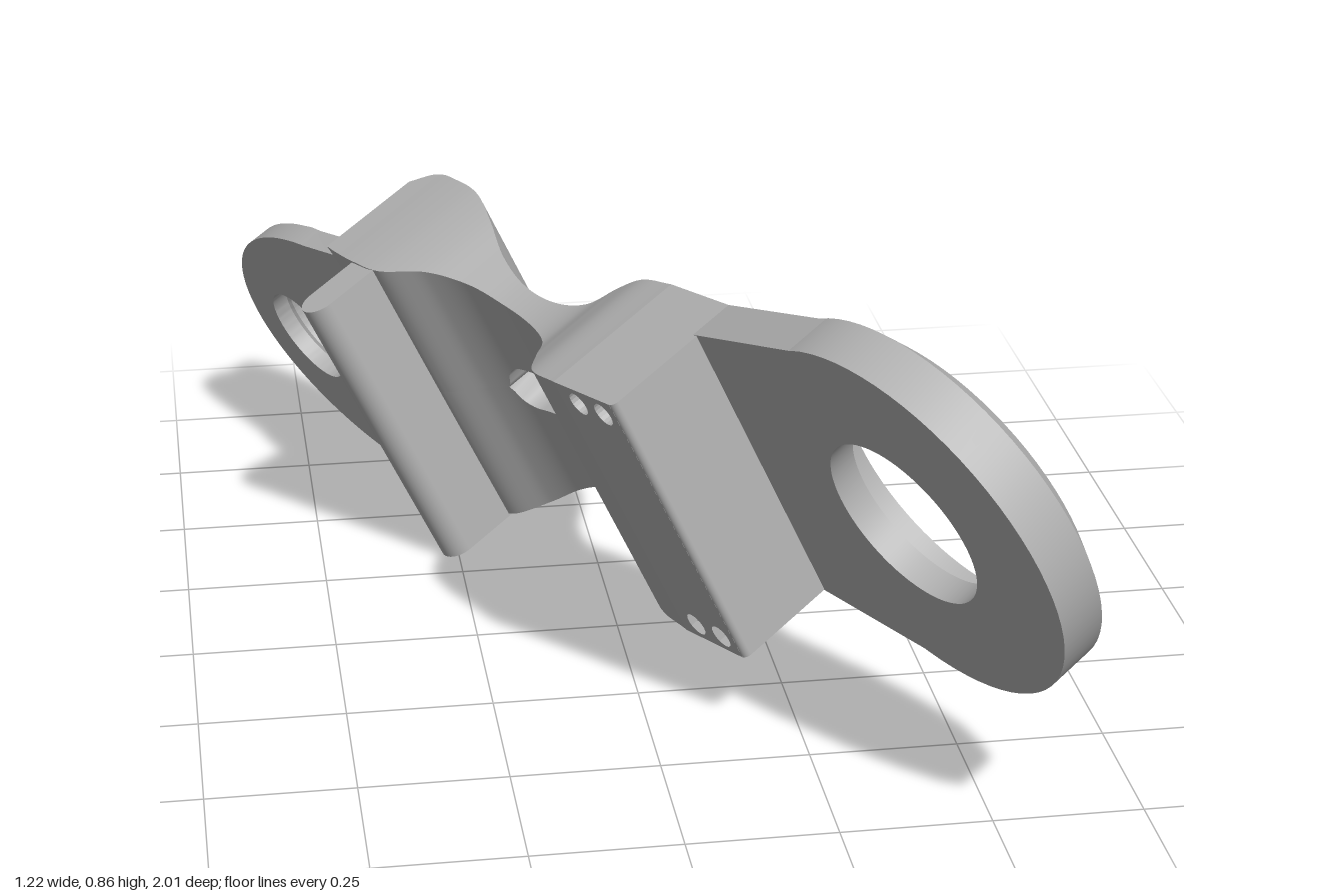
import * as THREE from 'three';
import { toCreasedNormals } from 'three/addons/utils/BufferGeometryUtils.js';

// Local frame: x = across the lever, y = along the lever, z = ring axis
export function createModel() {
  const model = new THREE.Group();
  const lever = new THREE.Group();
  lever.name = 'lever';
  model.add(lever);
  const grey = new THREE.MeshStandardMaterial({ color: 0xb2b2b2 });
  grey.name = 'metal grey';

  const add = (name, geo) => {
    const mesh = new THREE.Mesh(geo, grey);
    mesh.name = name;
    lever.add(mesh);
  };
  const circle = (x, y, r) => new THREE.Path().absarc(x, y, r, 0, Math.PI * 2, true);
  const plate = (name, shape, z0, z1, bevel = 0, segments = 48) => {
    const geo = new THREE.ExtrudeGeometry(shape, {
      depth: z1 - z0 - 2 * bevel, curveSegments: segments, bevelEnabled: bevel > 0, bevelSegments: 1,
      bevelSize: bevel, bevelThickness: bevel, bevelOffset: -bevel,
    });
    geo.translate(0, 0, z0 + bevel);
    add(name, segments > 20 ? toCreasedNormals(geo, 0.5) : geo);
  };
  // Box across the lever
  const box = (name, x0, x1, y0, y1, z0, z1) => {
    const geo = new THREE.BoxGeometry(x1 - x0, y1 - y0, z1 - z0);
    geo.translate((x0 + x1) / 2, (y0 + y1) / 2, (z0 + z1) / 2);
    add(name, geo);
  };
  // Wall across the lever with a rounded lower edge
  const roundedWall = (name, x0, x1, y, r, z0, z1) => {
    box(name, x0, x1, y - r, y + r, z0 + r, z1);
    const edge = new THREE.CylinderGeometry(r, r, x1 - x0, 32);
    edge.rotateZ(Math.PI / 2);
    edge.translate((x0 + x1) / 2, y, z0 + r);
    add(name + 'Edge', edge);
  };

  // Large ring with a counterbore
  const ringY = 0.786;
  const profile = [[0.157, 0], [0.337, 0], [0.337, 0.083], [0.29, 0.112], [0.235, 0.112],
    [0.235, 0.05], [0.157, 0.05], [0.157, 0]];
  const ring = new THREE.LatheGeometry(profile.map(p => new THREE.Vector2(...p)), 72);
  ring.rotateX(Math.PI / 2);
  ring.translate(0, ringY, 0);
  add('largeRing', toCreasedNormals(ring, 0.3));

  // Web joining the ring to the block
  const blockTop = 0.08, blockBottom = -0.185;
  const web = new THREE.Shape();
  web.moveTo(-0.275, 0.41);
  web.lineTo(0.275, 0.41);
  web.lineTo(0.325, 0.7);
  web.absarc(0, ringY, 0.33, -0.24, Math.PI + 0.24, false);
  web.holes.push(circle(0, ringY, 0.29));
  plate('ringWeb', web, 0, blockTop);

  // Thick block: solid middle and four drilled corners
  box('blockMiddle', -0.2, 0.2, 0.25, 0.41, blockBottom, blockTop);
  for (const side of [-1, 1]) {
    for (const [y0, y1, hole] of [[0.25, 0.335, 0.3], [0.335, 0.41, 0.371]]) {
      const cell = new THREE.Shape();
      cell.moveTo(side * 0.2, y0);
      cell.lineTo(side * 0.275, y0);
      cell.lineTo(side * 0.275, y1);
      cell.lineTo(side * 0.2, y1);
      cell.closePath();
      cell.holes.push(circle(side * 0.243, hole, 0.022));
      plate('drilledCorner', cell, blockBottom, blockTop, 0, 10);
    }
  }
  roundedWall('blockFrontWall', -0.275, 0.275, 0.408, 0.012, blockBottom, blockTop);

  // Wavy waist: station, then top, bottom, upper and lower half width
  const stations = [
    [-0.59, 0.09, -0.11, 0.285, 0.3], [-0.55, 0.125, -0.115, 0.285, 0.3],
    [-0.48, 0.13, -0.12, 0.285, 0.3], [-0.4, 0.12, -0.115, 0.28, 0.295],
    [-0.32, 0.085, -0.07, 0.265, 0.275], [-0.24, 0.042, -0.042, 0.237, 0.242],
    [-0.16, 0.018, -0.036, 0.212, 0.214], [-0.06, 0.015, -0.047, 0.2, 0.2],
    [0.02, 0.032, -0.075, 0.208, 0.208], [0.09, 0.062, -0.125, 0.237, 0.237],
    [0.16, 0.077, -0.172, 0.263, 0.263], [0.25, 0.08, -0.185, 0.275, 0.275]];
  const spline = new THREE.CubicInterpolant(
    stations.map(s => s[0]), stations.flatMap(s => s.slice(1)), 4, new Float32Array(4));
  // Half width of the central slot, with round ends
  const slot = y => {
    const half = 0.047, past = Math.max(0, Math.abs(y + 0.1) - 0.122);
    return past < half ? Math.sqrt(half * half - past * past) : 0;
  };
  for (const side of [-1, 1]) {
    const geo = new THREE.BoxGeometry(1, 1, 1, 8, 120, 1);
    const pos = geo.attributes.position;
    for (let i = 0; i < pos.count; i++) {
      const y = -0.59 + 0.84 * (pos.getY(i) + 0.5);
      const [top, bottom, upper, lower] = spline.evaluate(y);
      const outward = 0.5 + side * pos.getX(i);
      const x = side * THREE.MathUtils.lerp(slot(y), side > 0 ? upper : lower, outward);
      // The rear wall is hollowed to clear the hub
      const hollow = 0.05 * Math.max(0, 1 - (x / 0.29) ** 2) * Math.max(0, (-0.4 - y) / 0.19);
      pos.setXYZ(i, x, y + hollow, pos.getZ(i) > 0 ? top : bottom);
    }
    geo.computeVertexNormals();
    add(side > 0 ? 'waistUpperHalf' : 'waistLowerHalf', geo);
  }

  // Round-tipped lip under the rear end
  roundedWall('rearLip', -0.302, 0.281, -0.452, 0.036, -0.255, -0.112);

  // Rear plate with a half-elliptical end
  const tail = new THREE.Shape();
  tail.moveTo(-0.298, -0.47);
  tail.lineTo(-0.318, -0.7);
  tail.absellipse(-0.03, -0.7, 0.288, 0.43, Math.PI, Math.PI * 2, false);
  tail.lineTo(0.275, -0.47);
  tail.holes.push(circle(-0.025, -0.94, 0.1));
  plate('rearPlate', tail, -0.11, -0.065);

  // Small hub with a flat side and a D-shaped bore
  const hub = new THREE.Shape();
  hub.absarc(-0.025, -0.938, 0.187, Math.PI - 0.95, Math.PI * 2 + 0.95, false);
  hub.closePath();
  const bore = new THREE.Path();
  bore.absarc(-0.025, -0.938, 0.097, Math.PI - 0.5, Math.PI * 2 + 0.5, false);
  bore.closePath();
  hub.holes.push(bore);
  plate('smallHub', hub, -0.085, 0.01, 0.012);

  // Tilt the lever into its resting pose
  const along = new THREE.Vector3(0.44, 0.11, 0.89).normalize();
  const axis = new THREE.Vector3(-0.42, 0.902, 0.092).cross(along).normalize();
  const across = along.clone().cross(axis);
  lever.quaternion.setFromRotationMatrix(new THREE.Matrix4().makeBasis(across, along, axis));
  lever.position.set(0, 0.43, 0);
  return model;
}
